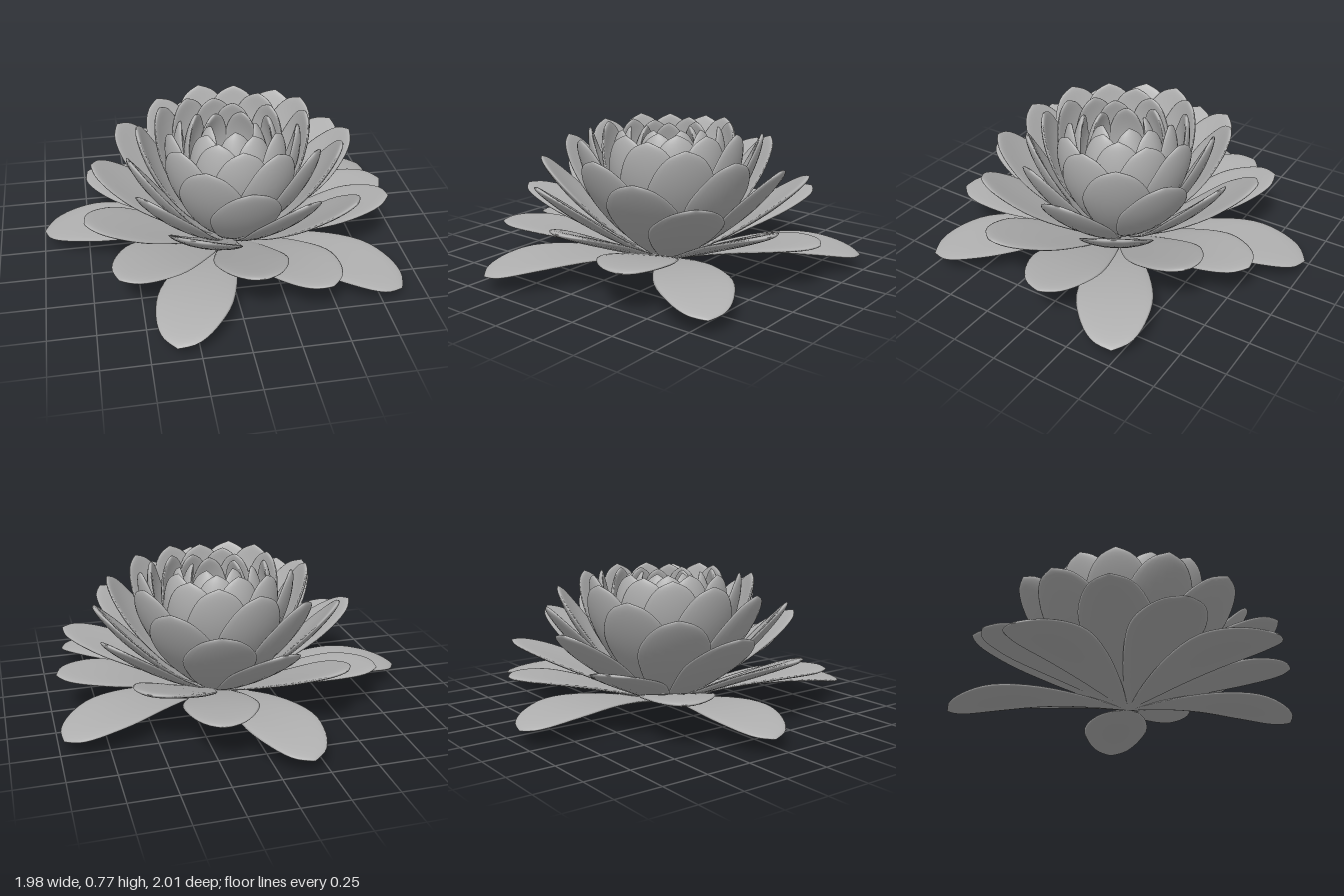
import * as THREE from 'three';

// Half-width of a petal along its length, as a fraction of its widest point
const outline = new THREE.SplineCurve([
  [0, 0], [0.06, 0.14], [0.2, 0.42], [0.45, 0.8], [0.68, 1], [0.84, 0.84], [0.95, 0.5], [1, 0],
].map(([s, w]) => new THREE.Vector2(s, w)));

// Rings from the outside in: tip radius, tip height, control radius, control height, half-width
const rings = [
  [1.06, 0.085, 0.60, 0.21, 0.195],
  [0.91, 0.25, 0.46, 0.20, 0.195],
  [0.87, 0.375, 0.45, 0.20, 0.19],
  [0.77, 0.52, 0.45, 0.22, 0.19],
  [0.69, 0.615, 0.45, 0.25, 0.19],
  [0.60, 0.685, 0.44, 0.28, 0.185],
  [0.51, 0.745, 0.43, 0.32, 0.18],
  [0.42, 0.77, 0.42, 0.36, 0.17],
  [0.35, 0.775, 0.41, 0.38, 0.16],
  [0.27, 0.775, 0.39, 0.39, 0.145],
  [0.20, 0.77, 0.36, 0.40, 0.13],
  [0.12, 0.765, 0.31, 0.40, 0.115],
];

// A cupped petal with a lens-shaped section, swept along a curve in the x-y plane
function petalGeometry([tipR, tipY, ctrlR, ctrlY, halfWidth], cup) {
  const rows = 26, sides = 20, thickness = 0.02;
  const spine = new THREE.QuadraticBezierCurve(
    new THREE.Vector2(0, 0.005), new THREE.Vector2(ctrlR, ctrlY), new THREE.Vector2(tipR, tipY));
  const positions = [], index = [];
  for (let i = 0; i <= rows; i++) {
    const shape = outline.getPoint(i / rows);
    const s = THREE.MathUtils.clamp(shape.x, 0, 1);
    const w = Math.max(shape.y, 0);
    const c = spine.getPointAt(s), t = spine.getTangentAt(s);
    for (let j = 0; j < sides; j++) {
      const a = (j / sides) * Math.PI * 2;
      const v = Math.cos(a);
      const lift = Math.sin(a) * thickness * Math.sqrt(w) + cup * v * v * w * w;
      positions.push(c.x - t.y * lift, c.y + t.x * lift, v * w * halfWidth);
      if (i < rows) {
        const k = (j + 1) % sides;
        const p = i * sides + j, q = i * sides + k;
        index.push(p, p + sides, q + sides, p, q + sides, q);
      }
    }
  }
  const geometry = new THREE.BufferGeometry();
  geometry.setAttribute('position', new THREE.Float32BufferAttribute(positions, 3));
  geometry.setIndex(index);
  geometry.computeVertexNormals();
  return geometry;
}

export function createModel() {
  const flower = new THREE.Group();
  flower.name = 'waterLily';
  const grey = new THREE.MeshStandardMaterial({ color: 0xb0b0b0 });
  grey.name = 'petalGrey';

  // Five petals per ring, each ring turned 24 degrees from the one outside it
  rings.forEach((ring, n) => {
    const group = new THREE.Group();
    group.name = `petalRing${n + 1}`;
    const geometry = petalGeometry(ring, 0.012 + 0.004 * n);
    for (let k = 0; k < 5; k++) {
      const petal = new THREE.Mesh(geometry, grey);
      petal.name = 'petal';
      petal.rotation.y = THREE.MathUtils.degToRad(30 - 24 * n + 72 * k);
      group.add(petal);
    }
    flower.add(group);
  });

  flower.position.set(0.06, 0, 0.03);
  const model = new THREE.Group();
  model.name = 'flower';
  model.add(flower);
  return model;
}
